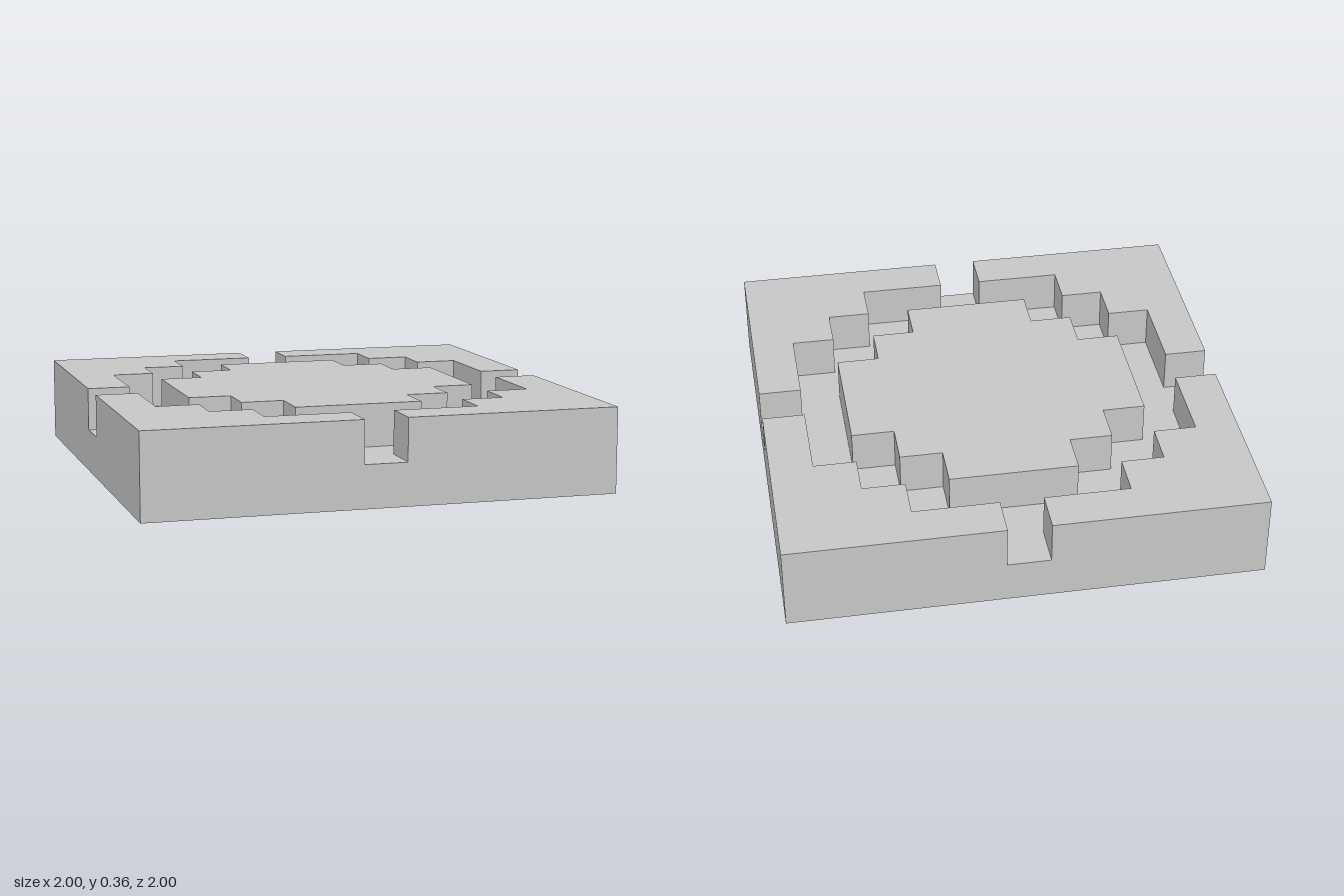
import * as THREE from 'three';

const U = 2 / 11; // one grid cell: the tile is 11 x 11 cells and 2 cells high

export function createModel() {
  const group = new THREE.Group();
  const material = new THREE.MeshStandardMaterial({ color: 0xcccccc, flatShading: true });

  const add = (name, geometry) => {
    const mesh = new THREE.Mesh(geometry, material);
    mesh.name = name;
    group.add(mesh);
    return mesh;
  };

  // Extrudes a plan outline (in cells) upward from the channel floor
  const raised = (outline) => {
    const shape = new THREE.Shape(outline.map(([x, y]) => new THREE.Vector2(x * U, y * U)));
    return new THREE.ExtrudeGeometry(shape, { depth: U, bevelEnabled: false })
      .rotateX(-Math.PI / 2)
      .translate(0, U, 0);
  };

  // Base slab, whose top is the channel floor
  add('base', new THREE.BoxGeometry(2, U, 2).translate(0, U / 2, 0));

  // Four stepped corners, separated by the notches in the middle of each side
  const corner = raised([
    [5.5, 0.5], [5.5, 5.5], [0.5, 5.5], [0.5, 4.5], [2.5, 4.5],
    [2.5, 3.5], [3.5, 3.5], [3.5, 2.5], [4.5, 2.5], [4.5, 0.5],
  ]);
  ['backLeftCorner', 'backRightCorner', 'frontRightCorner', 'frontLeftCorner'].forEach((name, i) => {
    add(name, corner).rotation.y = (i * Math.PI) / 2;
  });

  // Central island: one stepped quarter outline turned four times
  const quarter = [[3.5, 1.5], [2.5, 1.5], [2.5, 2.5], [1.5, 2.5], [1.5, 3.5]];
  const island = [];
  for (let i = 0, c = 1, s = 0; i < 4; i++, [c, s] = [-s, c]) {
    for (const [x, y] of quarter) island.push([x * c - y * s, x * s + y * c]);
  }
  add('centralIsland', raised(island));

  return group;
}
